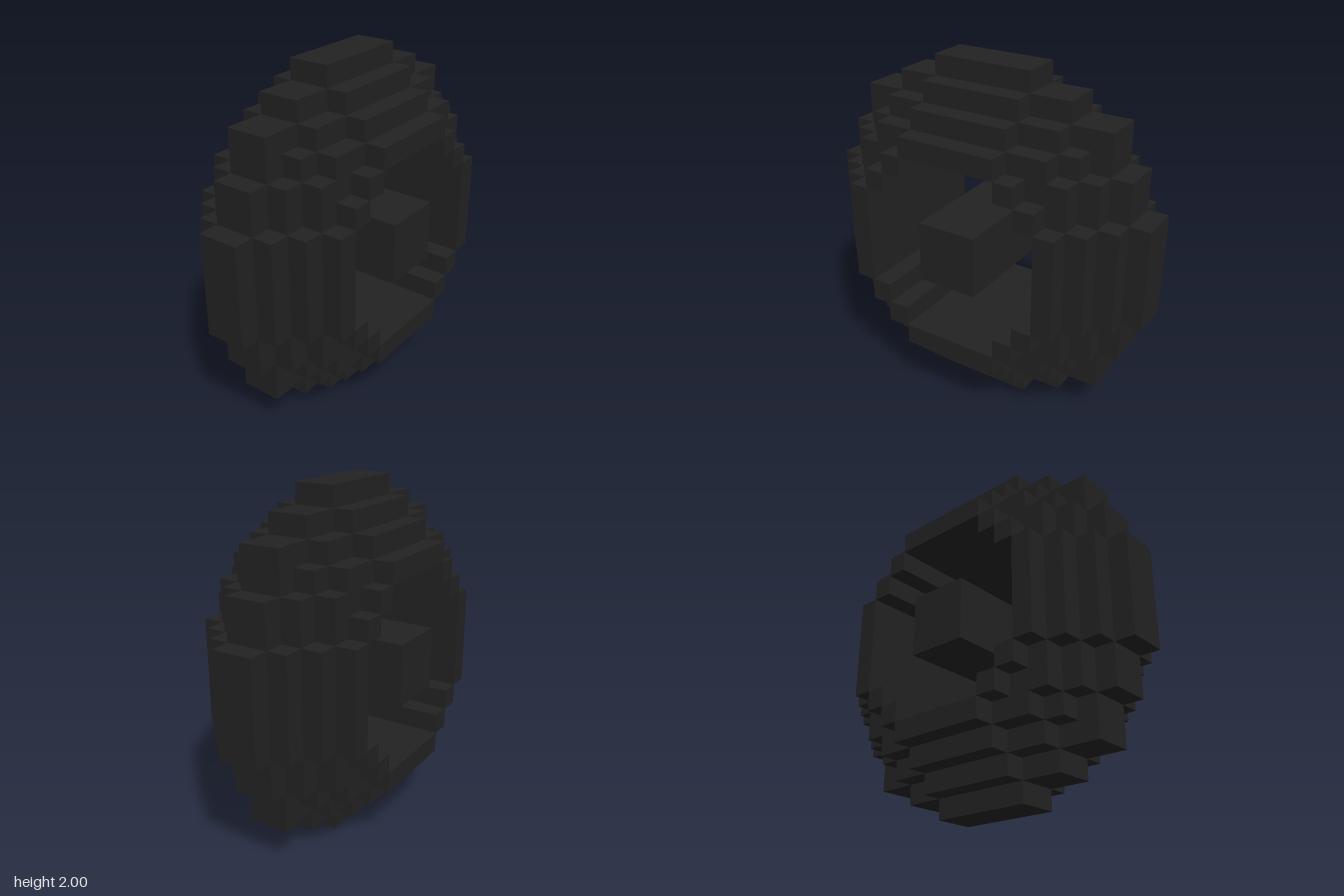
import * as THREE from 'three';
import { mergeGeometries } from 'three/addons/utils/BufferGeometryUtils.js';

const U = 2 / 17; // one block
const HOLE = 4.5; // hole radius in blocks

// Outer radius of each block-thick layer, back to front
const RADII = [5.5, 6.5, 7.5, 8.5, 8.5, 7.5, 6.5, 5.5];
const LAYER_NAMES = ['backFace', 'backInnerStep', 'backOuterStep', 'backTread',
  'frontTread', 'frontOuterStep', 'frontInnerStep', 'frontFace'];

// True where the tyre has a block
function solid(x, y, k) {
  if (k < 0 || k >= RADII.length) return false;
  const r = Math.hypot(x, y);
  return r > HOLE && r <= RADII[k];
}

// Block sides: neighbour direction and the turn that points a plane that way
const SIDES = [
  [1, 0, 0, 0, Math.PI / 2], [-1, 0, 0, 0, -Math.PI / 2],
  [0, 1, 0, -Math.PI / 2, 0], [0, -1, 0, Math.PI / 2, 0],
  [0, 0, 1, 0, 0], [0, 0, -1, 0, Math.PI],
].map(([dx, dy, dz, rx, ry]) => ({
  dx, dy, dz,
  plane: new THREE.PlaneGeometry(U, U).rotateX(rx).rotateY(ry)
    .translate(dx * U / 2, dy * U / 2, dz * U / 2),
}));

// One layer of the tyre, made only of its exposed block sides
function layerGeometry(k) {
  const faces = [];
  for (let x = -8; x <= 8; x++) {
    for (let y = -8; y <= 8; y++) {
      if (!solid(x, y, k)) continue;
      for (const s of SIDES) {
        if (solid(x + s.dx, y + s.dy, k + s.dz)) continue;
        faces.push(s.plane.clone().translate(x * U, y * U + 1, (k - 3.5) * U));
      }
    }
  }
  return mergeGeometries(faces);
}

export function createModel() {
  const model = new THREE.Group();
  model.name = 'blockWheel';
  const rubber = new THREE.MeshStandardMaterial({ color: 0x222222 });
  rubber.name = 'blackRubber';

  // Stepped tyre
  const tyre = new THREE.Group();
  tyre.name = 'tyre';
  LAYER_NAMES.forEach((name, k) => {
    const mesh = new THREE.Mesh(layerGeometry(k), rubber);
    mesh.name = name;
    tyre.add(mesh);
  });
  model.add(tyre);

  // Square axle floating in the hole
  const axle = new THREE.Mesh(new THREE.BoxGeometry(3 * U, 3 * U, 8 * U), rubber);
  axle.name = 'axle';
  axle.position.y = 1;
  model.add(axle);

  return model;
}
